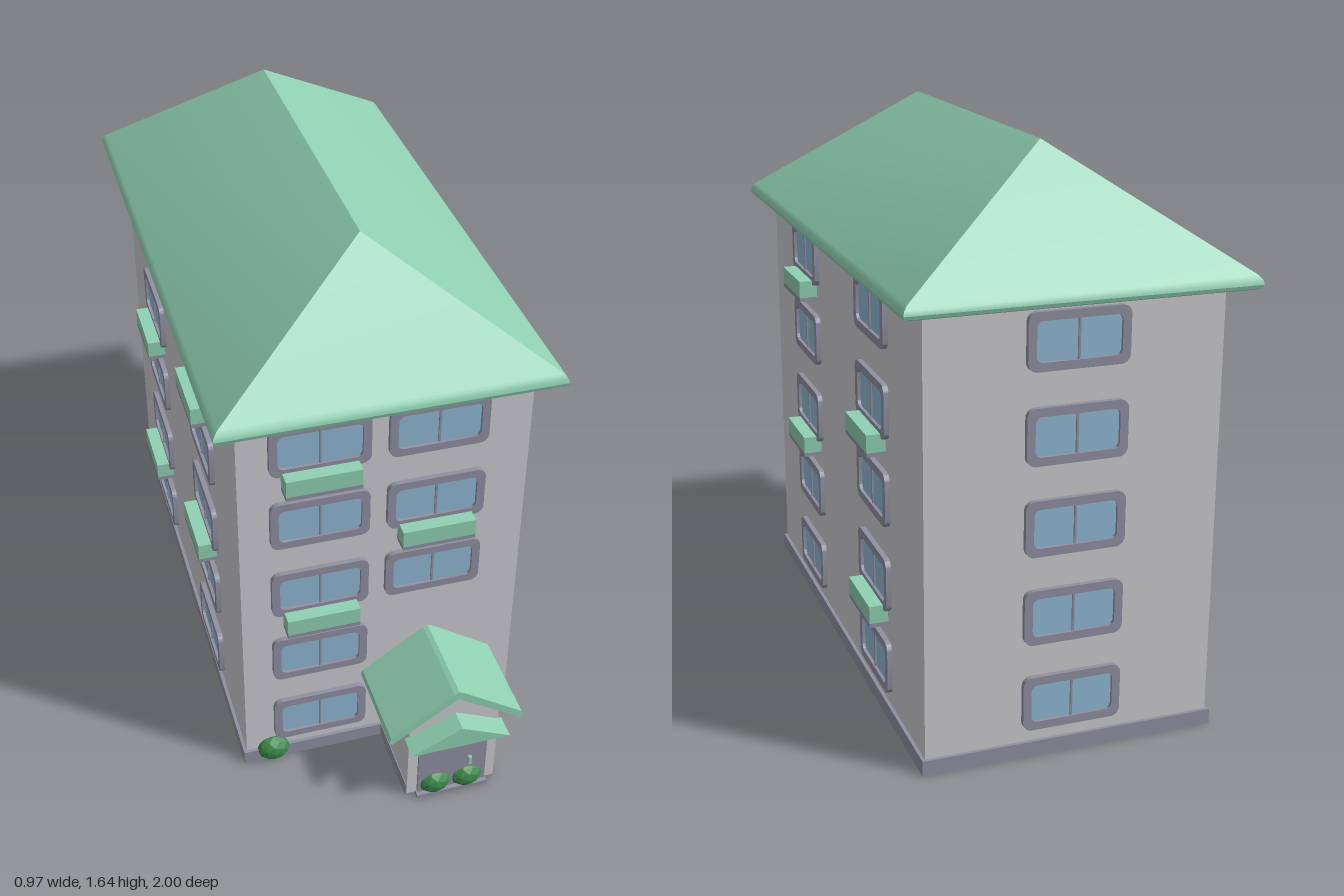
import * as THREE from 'three';
import { toCreasedNormals } from 'three/addons/utils/BufferGeometryUtils.js';

export function createModel() {
  const model = new THREE.Group();
  model.name = 'apartmentBuilding';
  const mat = (name, color, extra = {}) => {
    const m = new THREE.MeshStandardMaterial({ color, ...extra });
    m.name = name;
    return m;
  };
  const wall = mat('wallGrey', 0xcccbd0);
  const green = mat('roofGreen', 0x90d0b3);
  const trim = mat('trimGrey', 0x9090a2);
  const glass = mat('windowBlue', 0x90b9d4);
  const leaf = mat('bushGreen', 0x3c8a4b, { flatShading: true });

  const add = (parent, name, geo, material, x = 0, y = 0, z = 0) => {
    const mesh = new THREE.Mesh(geo, material);
    mesh.name = name;
    mesh.position.set(x, y, z);
    parent.add(mesh);
    return mesh;
  };
  // Box given by its min and max corners
  const block = (parent, name, material, [x0, y0, z0], [x1, y1, z1]) =>
    add(parent, name, new THREE.BoxGeometry(x1 - x0, y1 - y0, z1 - z0), material,
      (x0 + x1) / 2, (y0 + y1) / 2, (z0 + z1) / 2);
  const poly = (pts) => new THREE.Shape(pts.map(([x, y]) => new THREE.Vector2(x, y)));
  const extrude = (shape, depth) =>
    new THREE.ExtrudeGeometry(shape, { depth, bevelEnabled: false, curveSegments: 5 });
  const roundRect = (w, h, r, Type = THREE.Shape) => {
    const s = new Type(), x = w / 2, y = h / 2, q = Math.PI / 2;
    s.moveTo(-x + r, -y);
    s.absarc(x - r, -y + r, r, -q, 0);
    s.absarc(x - r, y - r, r, 0, q);
    s.absarc(-x + r, y - r, r, q, 2 * q);
    s.absarc(-x + r, -y + r, r, 2 * q, 3 * q);
    s.closePath();
    return s;
  };

  // Main block and plinth
  block(model, 'walls', wall, [-0.417, 0.02, -0.926], [0.417, 1.29, 0.675]);
  block(model, 'plinth', trim, [-0.427, 0, -0.936], [0.427, 0.045, 0.685]);

  // Hipped roof: rounded eave rings closing onto a ridge
  const ring = (inset, y) => {
    const x = 0.487 - inset, f = 0.742 - inset, b = -1 + inset;
    return [[-x, y, f], [x, y, f], [x, y, b], [-x, y, b]];
  };
  const rings = [ring(0.016, 1.279), ring(0.003, 1.284), ring(0, 1.294), ring(0.003, 1.306), ring(0.014, 1.319),
    [[0, 1.645, 0.4], [0, 1.645, 0.4], [0, 1.645, -0.65], [0, 1.645, -0.65]]];
  const tris = [];
  const tri = (a, b, c) => tris.push(...a, ...b, ...c);
  for (let i = 0; i < rings.length - 1; i++) {
    const last = i === rings.length - 2;
    for (let j = 0; j < 4; j++) {
      const k = (j + 1) % 4, lo = rings[i], hi = rings[i + 1];
      tri(lo[j], lo[k], hi[k]);
      if (!last || j % 2) tri(lo[j], hi[k], hi[j]);
    }
  }
  const base = rings[0];
  tri(base[0], base[2], base[1]);
  tri(base[0], base[3], base[2]);
  const roofGeo = new THREE.BufferGeometry();
  roofGeo.setAttribute('position', new THREE.Float32BufferAttribute(tris, 3));
  add(model, 'roof', toCreasedNormals(roofGeo, 0.5), green);

  // Windows: raised rounded frame, two panes, optional flower box
  const frameShape = roundRect(0.284, 0.158, 0.026);
  frameShape.holes.push(roundRect(0.237, 0.11, 0.018, THREE.Path));
  const frameGeo = toCreasedNormals(extrude(frameShape, 0.015), 0.6);
  const paneGeo = new THREE.ShapeGeometry(roundRect(0.237, 0.11, 0.018), 5);
  const addWindow = (x, y, z, turn, hasBox) => {
    const g = new THREE.Group();
    g.name = 'window';
    g.position.set(x, y, z);
    g.rotation.y = turn;
    add(g, 'windowFrame', frameGeo, trim);
    add(g, 'windowGlass', paneGeo, glass, 0, 0, 0.006);
    block(g, 'mullion', trim, [-0.003, -0.056, 0], [0.003, 0.056, 0.011]);
    if (hasBox) {
      block(g, 'balconyBox', green, [-0.107, -0.119, 0], [0.107, -0.067, 0.055]);
      block(g, 'balconySlab', trim, [-0.107, -0.131, 0], [0.107, -0.119, 0.055]);
    }
    model.add(g);
  };
  for (let row = 0; row < 5; row++) {
    const y = 1.18 - row * 0.2545;
    addWindow(-0.188, y, 0.675, 0, row === 0 || row === 2);
    if (row < 3) addWindow(0.147, y, 0.675, 0, row === 1);
    addWindow(0, y, -0.926, Math.PI, false);
    for (const side of [-1, 1]) {
      addWindow(side * 0.417, y, 0.24, side * Math.PI / 2, row === 0 || row === 2);
      addWindow(side * 0.417, y, -0.49, side * Math.PI / 2, row === 1 || row === 3);
    }
  }

  // Entrance porch
  const porch = new THREE.Group();
  porch.name = 'porch';
  porch.position.x = 0.147;
  model.add(porch);
  add(porch, 'porchWalls', extrude(poly([[-0.137, 0.01], [0.137, 0.01], [0.137, 0.3], [0, 0.396], [-0.137, 0.3]]), 0.265),
    wall, 0, 0, 0.67);
  block(porch, 'porchPlinth', trim, [-0.14, 0, 0.67], [0.14, 0.045, 0.932]);
  add(porch, 'porchRoof', extrude(poly([[0, 0.427], [-0.014, 0.421], [-0.2, 0.291], [-0.205, 0.276], [-0.196, 0.267],
    [0, 0.4], [0.196, 0.267], [0.205, 0.276], [0.2, 0.291], [0.014, 0.421]]), 0.285), green, 0, 0, 0.672);
  add(porch, 'doorCanopy', extrude(poly([[-0.15, 0.249], [0.15, 0.249], [0, 0.322]]), 0.07), green, 0, 0, 0.93);
  add(porch, 'door', extrude(roundRect(0.212, 0.235, 0.012), 0.008), trim, 0, 0.122, 0.934);
  block(porch, 'doorHandle', green, [0.048, 0.1, 0.94], [0.058, 0.13, 0.953]);
  block(porch, 'doorstep', trim, [-0.11, 0, 0.93], [0.11, 0.014, 0.955]);

  // Bushes
  const bushGeo = new THREE.IcosahedronGeometry(1, 1);
  for (const [x, z] of [[-0.335, 0.68], [0.332, 0.68], [0.096, 0.932], [0.196, 0.932]]) {
    const bush = add(model, 'bush', bushGeo, leaf, x, 0.042, z);
    bush.scale.set(0.05, 0.042, 0.035);
  }
  return model;
}
